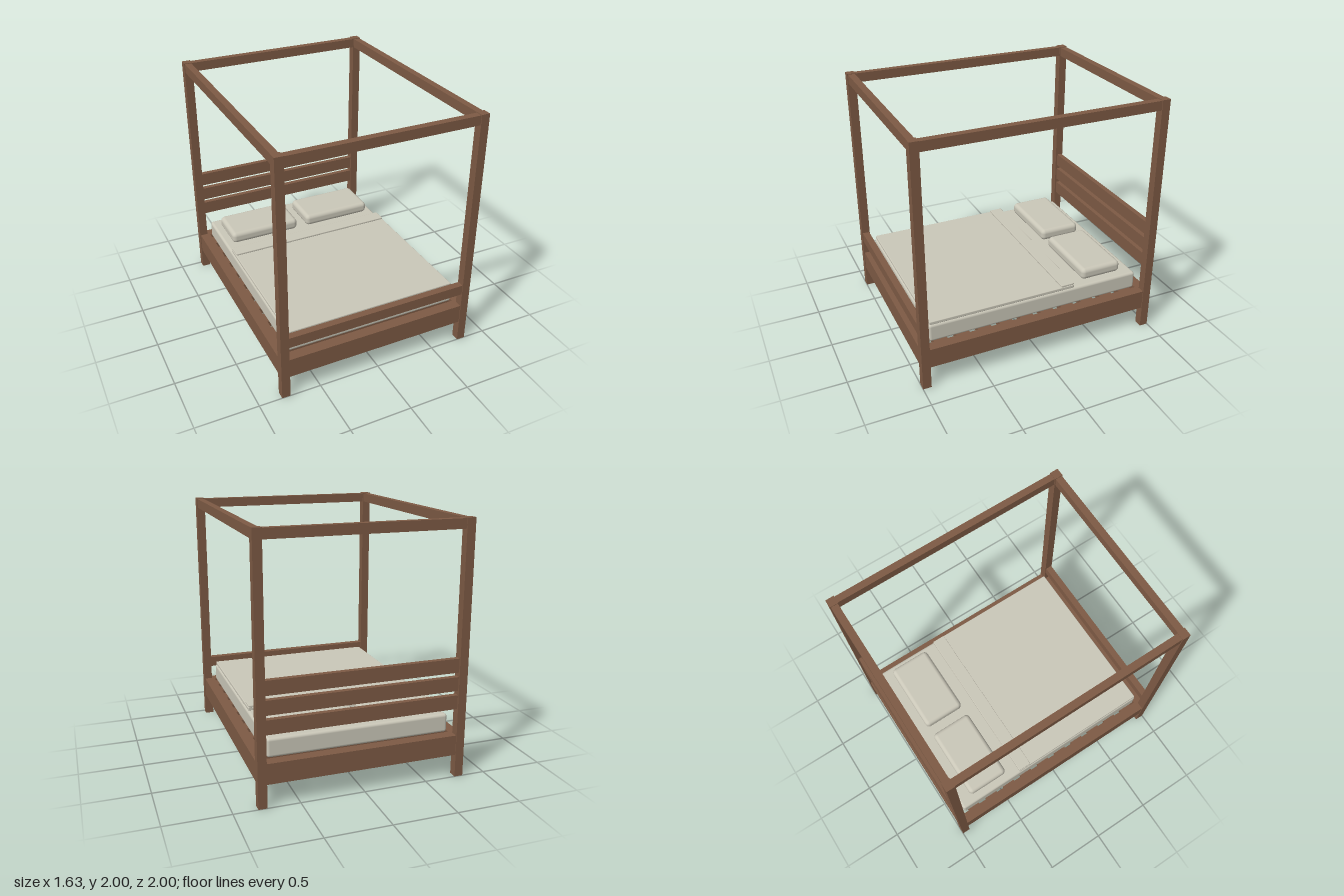
import * as THREE from 'three';
import { RoundedBoxGeometry } from 'three/addons/geometries/RoundedBoxGeometry.js';

export function createModel() {
  const bed = new THREE.Group();
  bed.name = 'canopyBed';

  const wood = new THREE.MeshStandardMaterial({ color: 0x7d5a44 });
  wood.name = 'brown wood';
  const linen = new THREE.MeshStandardMaterial({ color: 0xcac7b8 });
  linen.name = 'pale linen';

  // Box given by its extents on each axis; a radius rounds its edges.
  function block(name, material, [x0, x1], [y0, y1], [z0, z1], radius = 0) {
    const size = [x1 - x0, y1 - y0, z1 - z0];
    const geometry = radius
      ? new RoundedBoxGeometry(...size, 3, radius)
      : new THREE.BoxGeometry(...size);
    const mesh = new THREE.Mesh(geometry, material);
    mesh.name = name;
    mesh.position.set((x0 + x1) / 2, (y0 + y1) / 2, (z0 + z1) / 2);
    bed.add(mesh);
    return mesh;
  }

  const span = (a, b, side) => (side > 0 ? [a, b] : [-b, -a]);
  const postX = 0.748, postZ = 0.932;
  const acrossX = [-postX, postX];
  const alongZ = [-postZ, postZ];

  // Four corner posts
  for (const sx of [-1, 1]) {
    for (const sz of [-1, 1]) {
      block('cornerPost', wood, span(postX, 0.816, sx), [0, 2], span(postZ, 1, sz));
    }
  }

  // Canopy beams and bed rails on all four sides
  for (const s of [-1, 1]) {
    block('canopyCrossBeam', wood, acrossX, [1.92, 1.995], span(0.938, 0.994, s));
    block('canopySideBeam', wood, span(0.755, 0.81, s), [1.92, 1.995], alongZ);
    block('endRail', wood, acrossX, [0.18, 0.34], span(0.907, 0.994, s));
    block('sideRail', wood, span(0.726, 0.81, s), [0.18, 0.34], alongZ);
  }

  // Headboard planks and footboard bar
  for (const y of [0.555, 0.7, 0.845]) {
    block('headboardPlank', wood, acrossX, [y, y + 0.11], [-0.988, -0.946]);
  }
  block('footboardBar', wood, acrossX, [0.455, 0.54], [0.938, 0.994]);

  // Slats beneath the mattress
  const slats = 10;
  for (let i = 0; i < slats; i++) {
    const z = -0.81 + (1.62 * i) / (slats - 1);
    block('bedSlat', wood, [-0.727, 0.727], [0.285, 0.335], [z - 0.055, z + 0.055]);
  }

  // Bedding
  block('mattress', linen, [-0.718, 0.718], [0.336, 0.485], [-0.9, 0.9], 0.022);
  block('blanket', linen, [-0.71, 0.71], [0.483, 0.51], [-0.33, 0.89], 0.006);
  block('blanketFold', linen, [-0.706, 0.706], [0.508, 0.525], [-0.33, -0.22], 0.004);
  for (const s of [-1, 1]) {
    block('pillow', linen, span(0.045, 0.657, s), [0.485, 0.585], [-0.79, -0.435], 0.036);
  }

  return bed;
}
